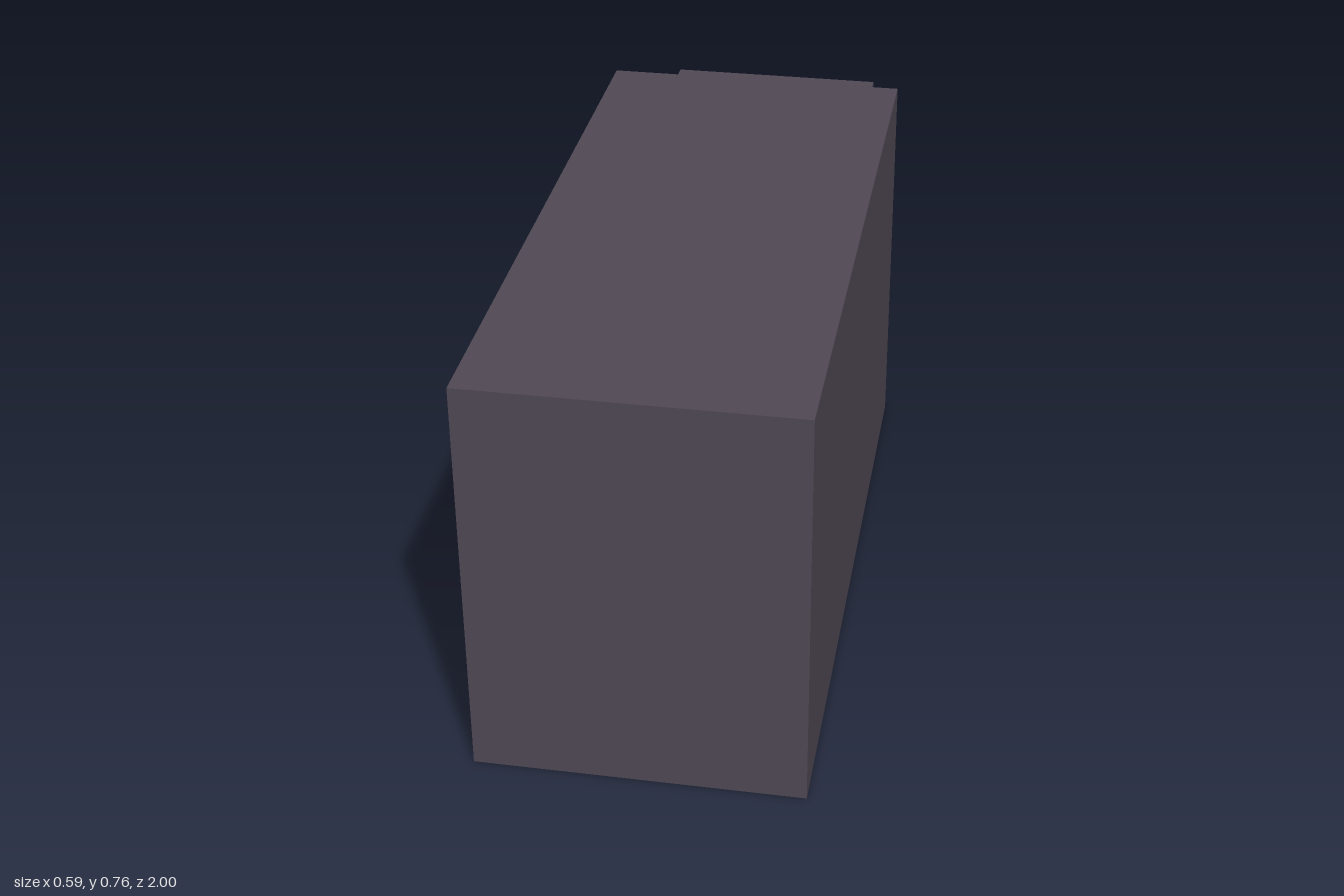
import * as THREE from 'three';

const U = 2 / 17;                 // building module
const X0 = -2.5 * U, X1 = 2.5 * U; // open side and far side of the hall
const ZF = 1, ZM = 1 - 11 * U, ZB = -1;
const H = 6.5 * U, LOW = 4 * U;   // ceiling heights of hall and annex

const plaster = new THREE.MeshStandardMaterial({ color: 0x514955, side: THREE.DoubleSide });
plaster.name = 'dusky plum plaster';

function part(parent, name, geometry, x = 0, y = 0, z = 0) {
  const mesh = new THREE.Mesh(geometry, plaster);
  mesh.name = name;
  mesh.position.set(x, y, z);
  parent.add(mesh);
  return mesh;
}

function polygon(points) {
  return new THREE.ShapeGeometry(new THREE.Shape(points.map(([x, y]) => new THREE.Vector2(x, y))));
}

// Trim on the inner face of a wall: local x runs along it, local z points into the room
function trim(parent, name, { length, height, pillars, position, turn }) {
  const g = new THREE.Group();
  g.name = name;
  for (const x of pillars) {
    part(g, 'pillar', new THREE.BoxGeometry(0.56 * U, height, U / 4), x, height / 2, U / 8);
    part(g, 'plinth', new THREE.BoxGeometry(0.8 * U, U / 3, U / 3), x, U / 6, U / 6);
  }
  part(g, 'ceilingBeam', new THREE.BoxGeometry(length, U / 3, U / 3), 0, height - U / 6, U / 6);
  g.position.set(...position);
  g.rotation.y = turn;
  parent.add(g);
}

export function createModel() {
  const model = new THREE.Group();
  model.name = 'cutawayHall';
  const XA = X1 - U; // far side of the annex

  // Floor covering both rooms
  const floor = polygon([[X0, -ZF], [X1, -ZF], [X1, -ZM], [XA, -ZM], [XA, -ZB], [X0, -ZB]]);
  part(model, 'floor', floor.rotateX(-Math.PI / 2));

  // Ceilings
  const ceiling = (name, x1, z0, z1, y) =>
    part(model, name, new THREE.PlaneGeometry(x1 - X0, z1 - z0).rotateX(-Math.PI / 2),
      (X0 + x1) / 2, y, (z0 + z1) / 2);
  ceiling('hallCeiling', X1, ZM, ZF, H);
  ceiling('annexCeiling', XA, ZB, ZM, LOW);

  // Thin outer walls; the -x side stays open
  part(model, 'frontWall', new THREE.PlaneGeometry(X1 - X0, H), 0, H / 2, ZF);
  part(model, 'hallSideWall', new THREE.PlaneGeometry(ZF - ZM, H).rotateY(Math.PI / 2),
    X1, H / 2, (ZF + ZM) / 2);
  part(model, 'annexSideWall', new THREE.PlaneGeometry(ZM - ZB, LOW).rotateY(Math.PI / 2),
    XA, LOW / 2, (ZM + ZB) / 2);
  part(model, 'annexBackWall', new THREE.PlaneGeometry(XA - X0, LOW).rotateY(Math.PI),
    (X0 + XA) / 2, LOW / 2, ZB);
  // Wall between the rooms, with the annex opening cut away
  part(model, 'steppedWall',
    polygon([[X0, LOW], [XA, LOW], [XA, 0], [X1, 0], [X1, H], [X0, H]]).rotateY(Math.PI).scale(-1, 1, 1),
    0, 0, ZM);

  // Pillars, plinths and ceiling beams
  trim(model, 'frontTrim', {
    length: 5 * U, height: H, pillars: [-1.5 * U, 1.5 * U], position: [0, 0, ZF], turn: Math.PI,
  });
  trim(model, 'hallSideTrim', {
    length: 11 * U, height: H, pillars: [-4.5, -1.5, 1.5, 4.5].map((k) => k * U),
    position: [X1, 0, (ZF + ZM) / 2], turn: -Math.PI / 2,
  });
  trim(model, 'steppedWallTrim', {
    length: 5 * U, height: H, pillars: [], position: [0, 0, ZM], turn: 0,
  });
  trim(model, 'annexSideTrim', {
    length: 6 * U, height: LOW, pillars: [-1.5 * U, 1.5 * U],
    position: [XA, 0, (ZM + ZB) / 2], turn: -Math.PI / 2,
  });
  trim(model, 'annexBackTrim', {
    length: 4 * U, height: LOW, pillars: [-U, U], position: [(X0 + XA) / 2, 0, ZB], turn: 0,
  });

  return model;
}
